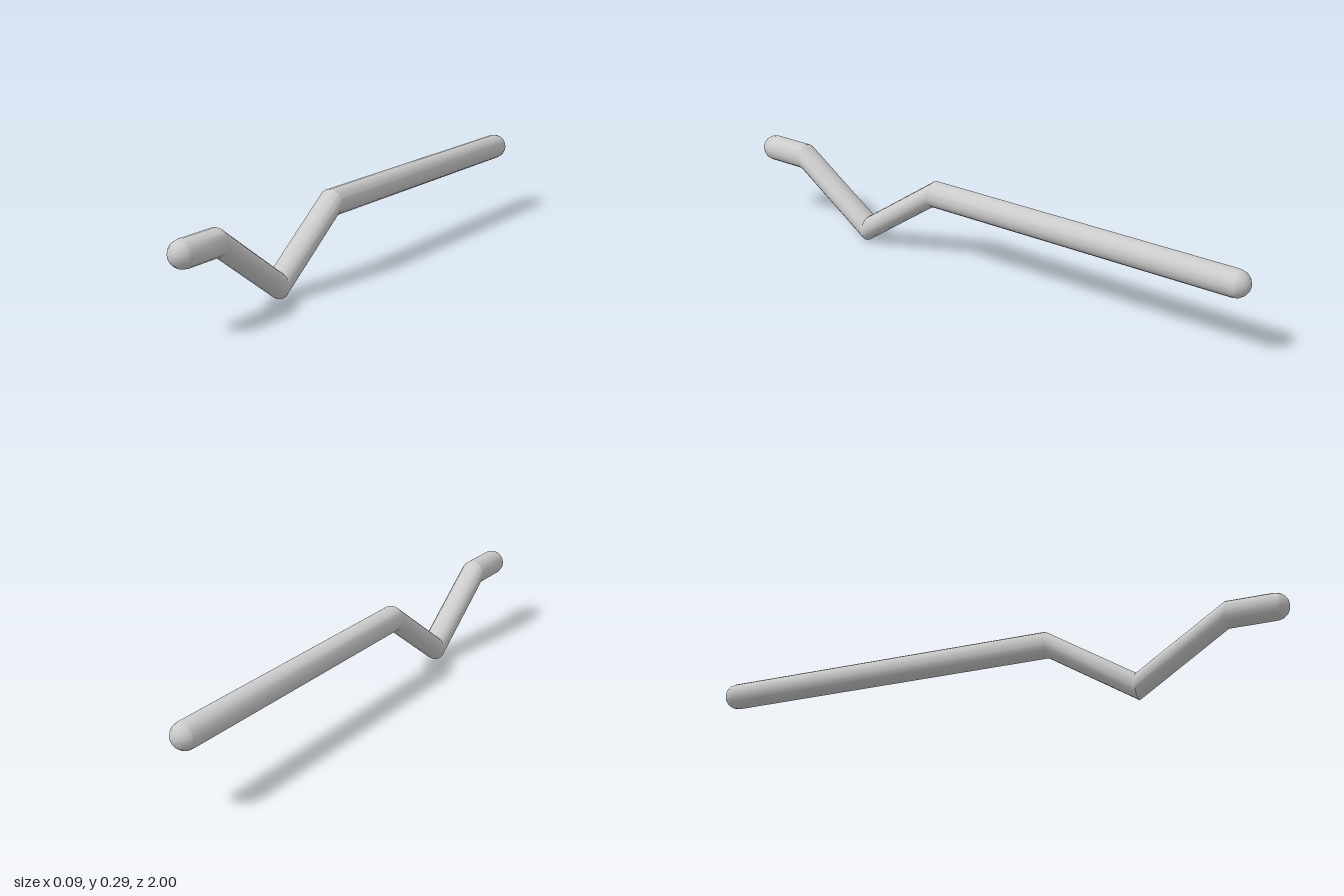
import * as THREE from 'three';
import { toCreasedNormals } from 'three/addons/utils/BufferGeometryUtils.js';

const RADIUS = 0.0443;
const SIDES = 16;
const CAP_STEPS = 4;

// Skin a row of upright circular rings, running from +z to -z
function loftRings(rings) {
  const positions = [];
  const index = [];
  for (const { y, z, r } of rings) {
    for (let j = 0; j < SIDES; j++) {
      const a = (j / SIDES) * Math.PI * 2;
      positions.push(r * Math.cos(a), y + r * Math.sin(a), z);
    }
  }
  for (let i = 0; i < rings.length - 1; i++) {
    for (let j = 0; j < SIDES; j++) {
      const k = (j + 1) % SIDES;
      const a = i * SIDES + j, b = i * SIDES + k;
      const c = a + SIDES, d = b + SIDES;
      // Skip the collapsed triangles at the poles
      if (rings[i].r > 0) index.push(a, c, b);
      if (rings[i + 1].r > 0) index.push(b, c, d);
    }
  }
  const geometry = new THREE.BufferGeometry();
  geometry.setAttribute('position', new THREE.Float32BufferAttribute(positions, 3));
  geometry.setIndex(index);
  return toCreasedNormals(geometry, 0.5);
}

export function createModel() {
  const group = new THREE.Group();
  group.name = 'bentRod';

  const high = 0.244;
  const capZ = 1 - RADIUS;

  // Rounded end, listed from its tip inward
  const cap = [];
  for (let i = 0; i <= CAP_STEPS; i++) {
    const a = (i / CAP_STEPS) * Math.PI / 2;
    cap.push({ y: high, z: capZ + RADIUS * Math.cos(a), r: i ? RADIUS * Math.sin(a) : 0 });
  }
  const backCap = cap.map(({ y, z, r }) => ({ y, z: -z, r })).reverse();

  // Bends: short front end, V-shaped dip, long straight shaft
  const bends = [[0.8, high], [0.5, RADIUS], [0.2, high]]
    .map(([z, y]) => ({ y, z, r: RADIUS }));

  const rod = new THREE.Mesh(
    loftRings([...cap, ...bends, ...backCap]),
    new THREE.MeshStandardMaterial({ color: 0xcccccc })
  );
  rod.name = 'rod';
  group.add(rod);
  return group;
}
